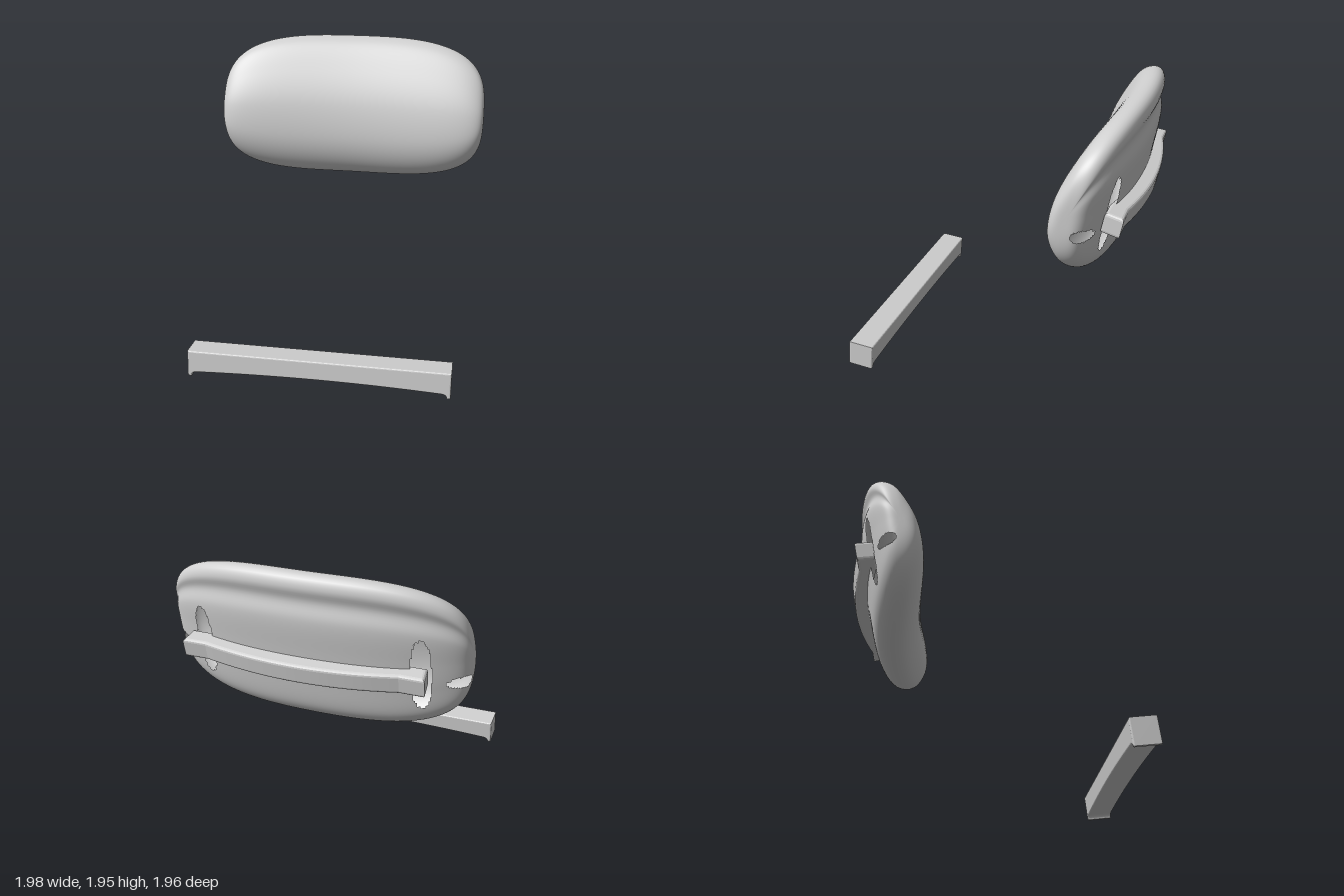
import * as THREE from 'three';

const grey = new THREE.MeshStandardMaterial({ color: 0xd0d0d0, side: THREE.DoubleSide });
grey.name = 'light grey';

function addMesh(group, name, geometry) {
  const mesh = new THREE.Mesh(geometry, grey);
  mesh.name = name;
  group.add(mesh);
  return mesh;
}

// Side profile of the cushion at its middle, as (z, y), going around once
const PROFILE = [
  [-0.88, 1.96], [-0.79, 1.93], [-0.65, 1.74], [-0.54, 1.5], [-0.495, 1.22], [-0.53, 1.06],
  [-0.6, 0.96], [-0.67, 0.933], [-0.74, 0.95], [-0.8, 1.02], [-0.86, 1.24], [-0.9, 1.45],
  [-0.935, 1.68], [-0.92, 1.79], [-0.945, 1.88], [-0.925, 1.94],
];

// Bowed, leaning cushion: the profile shrinks towards both ends
function cushionGeometry() {
  const COLS = 220, RINGS = 130, MID_Y = 1.447, CENTRE_X = 0.01;
  const curve = new THREE.CatmullRomCurve3(PROFILE.map(([z, y]) => new THREE.Vector3(0, y, z)), true);
  const loop = curve.getSpacedPoints(RINGS).slice(0, RINGS);
  const axis = (y) => -0.715 - 0.23 * (y - MID_Y);
  const round = (u, n) => Math.pow(Math.max(0, 1 - Math.pow(Math.abs(u), n)), 1 / n);
  const pos = [], index = [];
  for (let i = 0; i <= COLS; i++) {
    const u = Math.sin((i / COLS - 0.5) * Math.PI);
    const tall = round(u, 3.3), thick = round(u, 3.6);
    for (const p of loop) {
      const y = MID_Y + (p.y - MID_Y) * tall;
      const z = axis(y) + (p.z - axis(p.y)) * thick + 0.11 * u * u;
      pos.push(CENTRE_X + 0.99 * u, y, z);
    }
  }
  // Upright slots in the back and small slits at the ends
  const open = (x, y, z) => {
    const ax = Math.abs(x - CENTRE_X);
    const slot = z < -0.7 && ((ax - 0.72) / 0.06) ** 2 + Math.abs((y - 1.375) / 0.245) ** 3 < 1;
    const slit = ax > 0.8 && ((z + 0.69) / 0.06) ** 2 + ((y - 1.32) / 0.04) ** 2 < 1;
    return slot || slit;
  };
  for (let i = 0; i < COLS; i++) {
    for (let j = 0; j < RINGS; j++) {
      const k = (j + 1) % RINGS;
      const a = i * RINGS + j, b = a + RINGS, c = (i + 1) * RINGS + k, d = i * RINGS + k;
      const mid = [0, 1, 2].map((n) => (pos[a * 3 + n] + pos[c * 3 + n]) / 2);
      if (!open(...mid)) index.push(a, d, b, b, d, c);
    }
  }
  const g = new THREE.BufferGeometry();
  g.setAttribute('position', new THREE.Float32BufferAttribute(pos, 3));
  g.setIndex(index);
  g.computeVertexNormals();
  return g;
}

// Extrudes an outline with small rounded edges, centred on its depth
function barGeometry(shape, depth, bevel) {
  const g = new THREE.ExtrudeGeometry(shape, {
    depth: depth - 2 * bevel, bevelThickness: bevel, bevelSize: bevel, bevelOffset: -bevel,
    bevelSegments: 3, curveSegments: 24,
  });
  return g.translate(0, 0, -depth / 2 + bevel);
}

// Bowed rail behind the cushion, drawn from above
function backRailGeometry() {
  const h = 0.8, t = 0.12;
  const s = new THREE.Shape();
  s.moveTo(-h, -0.05);
  s.lineTo(-0.64, -0.05);
  s.quadraticCurveTo(0, 0.09, 0.64, -0.05);
  s.lineTo(h, -0.05);
  s.lineTo(h - 0.015, -0.05 - t);
  s.lineTo(0.64, -0.05 - t);
  s.quadraticCurveTo(0, 0.09 - t, -0.64, -0.05 - t);
  s.lineTo(-h + 0.015, -0.05 - t);
  s.closePath();
  return barGeometry(s, 0.135, 0.02).rotateX(-Math.PI / 2);
}

// Front apron: a square bar with an arched underside and short end lips
function apronGeometry() {
  const h = 0.872;
  const s = new THREE.Shape();
  s.moveTo(-h, 0.09);
  s.lineTo(-h, -0.09);
  s.lineTo(-h + 0.025, -0.09);
  s.quadraticCurveTo(-h + 0.025, -0.062, -h + 0.06, -0.06);
  s.quadraticCurveTo(0, -0.02, h - 0.06, -0.06);
  s.quadraticCurveTo(h - 0.025, -0.062, h - 0.025, -0.09);
  s.lineTo(h, -0.09);
  s.lineTo(h, 0.09);
  s.closePath();
  return barGeometry(s, 0.178, 0.01);
}

export function createModel() {
  const model = new THREE.Group();
  model.name = 'seatParts';

  addMesh(model, 'backCushion', cushionGeometry());

  const rail = addMesh(model, 'backRail', backRailGeometry());
  rail.position.set(0.04, 1.33, -0.952);
  rail.rotation.x = -0.2;

  const apron = addMesh(model, 'frontApron', apronGeometry());
  apron.position.set(0.012, 0.105, 0.878);
  apron.rotation.x = -0.105;

  return model;
}
